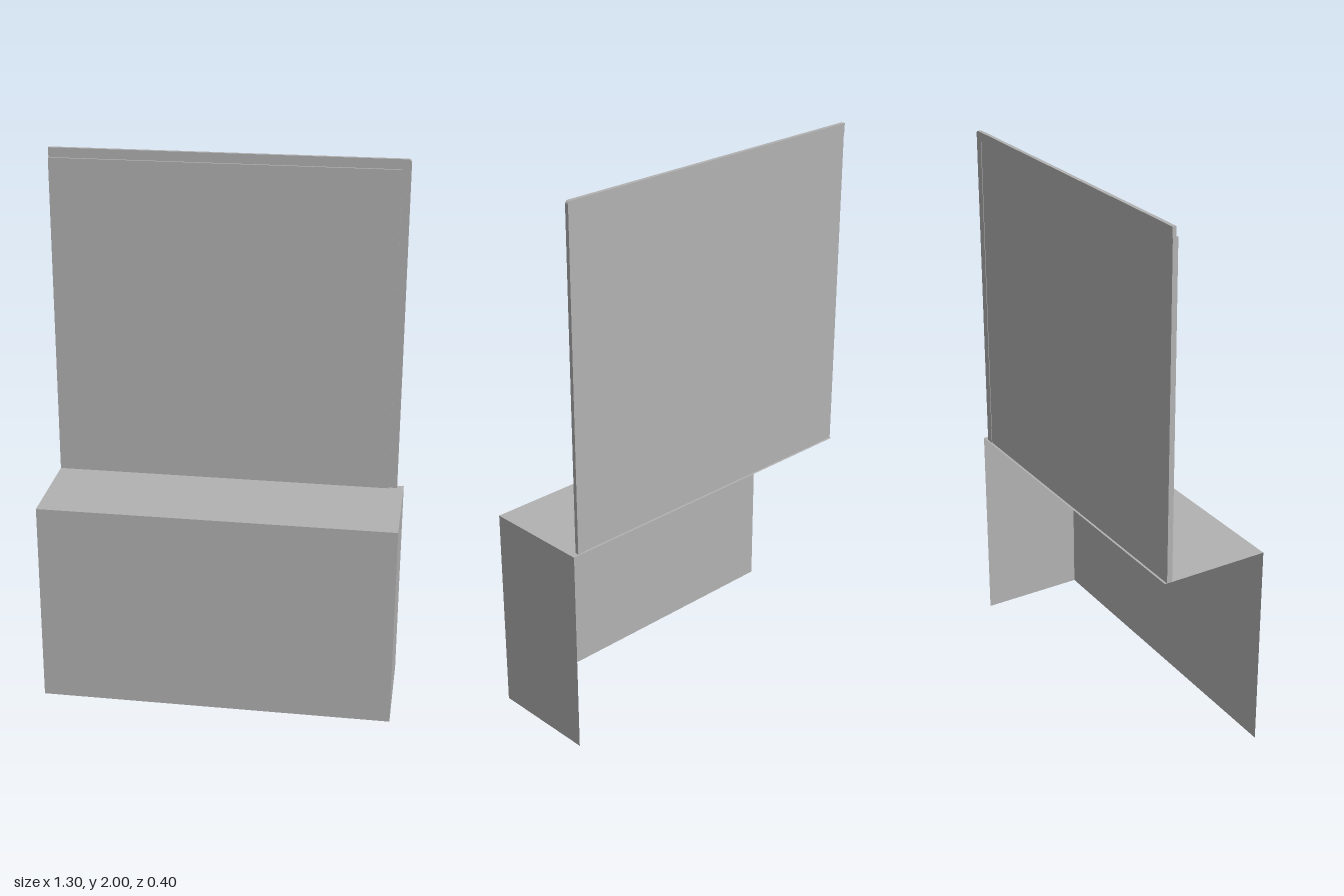
import * as THREE from 'three';

export function createModel() {
  const group = new THREE.Group();
  const grey = new THREE.MeshStandardMaterial({ color: 0xb2b2b2, side: THREE.DoubleSide });
  grey.name = 'plain grey';

  function add(name, geometry, x, y, z, ry = 0, rx = 0) {
    const mesh = new THREE.Mesh(geometry, grey);
    mesh.name = name;
    mesh.position.set(x, y, z);
    mesh.rotation.set(rx, ry, 0);
    group.add(mesh);
  }

  const W = 1.3, D = 0.4, H = 0.77;

  // Counter: thin sheets, open at the back, the bottom and the -x end
  add('counterFront', new THREE.PlaneGeometry(W, H), 0, H / 2, D / 2);
  add('counterSide', new THREE.PlaneGeometry(D, H), W / 2, H / 2, 0, Math.PI / 2);
  add('counterTop', new THREE.PlaneGeometry(W, D), 0, H, 0, 0, -Math.PI / 2);

  // Main panel standing near the back edge of the counter
  const left = -W / 2, inner = 0.595, innerTop = 1.965;
  add('panel', new THREE.BoxGeometry(inner - left, innerTop - H, 0.02),
    (left + inner) / 2, (H + innerTop) / 2, -0.182);

  // L-shaped rim along the top and the +x edge, with a rounded outer corner
  const outer = 0.626, top = 2, r = 0.012;
  const rim = new THREE.Shape();
  rim.moveTo(inner, H);
  rim.lineTo(outer, H);
  rim.lineTo(outer, top - r);
  rim.absarc(outer - r, top - r, r, 0, Math.PI / 2, false);
  rim.lineTo(left, top);
  rim.lineTo(left, innerTop);
  rim.lineTo(inner, innerTop);
  rim.closePath();
  add('panelRim', new THREE.ExtrudeGeometry(rim, { depth: 0.014, bevelEnabled: false, curveSegments: 5 }),
    0, 0, -0.194);

  return group;
}
